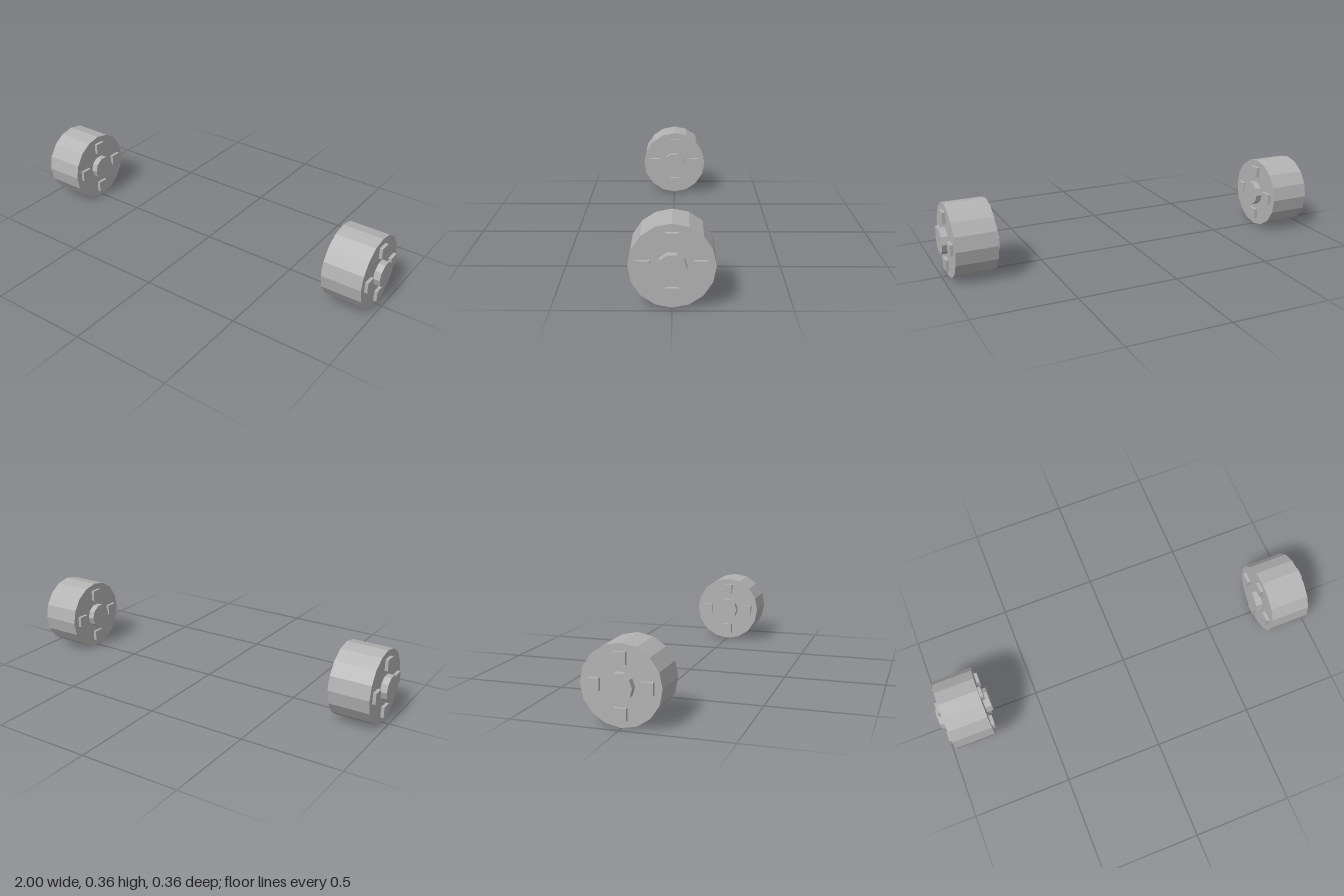
import * as THREE from 'three';

const RADIUS = 0.182;

export function createModel() {
  const model = new THREE.Group();
  model.name = 'wheelPair';
  const grey = new THREE.MeshStandardMaterial({ color: 0xb3b3b3 });
  grey.name = 'grey';
  grey.flatShading = true;

  // Faceted cylinder lying along x
  const disc = (radius, width, sides) =>
    new THREE.CylinderGeometry(radius, radius, width, sides).rotateZ(Math.PI / 2);
  const tyreGeo = disc(RADIUS, 0.203, 16);
  const hubGeo = disc(0.063, 0.27, 10);
  const lugGeo = new THREE.BoxGeometry(0.016, 0.055, 0.055);

  function createWheel(name, x) {
    const wheel = new THREE.Group();
    wheel.name = name;
    wheel.position.set(x, RADIUS, 0);
    const add = (geometry, partName) => {
      const mesh = new THREE.Mesh(geometry, grey);
      mesh.name = partName;
      wheel.add(mesh);
      return mesh;
    };
    add(tyreGeo, 'tyre');
    add(hubGeo, 'hub');
    // Four square lugs on each side
    for (const side of [-1, 1]) {
      for (let i = 0; i < 4; i++) {
        const a = (i * Math.PI) / 2;
        add(lugGeo, 'lug').position.set(side * 0.1095, Math.cos(a) * 0.119, Math.sin(a) * 0.119);
      }
    }
    return wheel;
  }

  model.add(createWheel('leftWheel', 0.865), createWheel('rightWheel', -0.865));
  return model;
}
